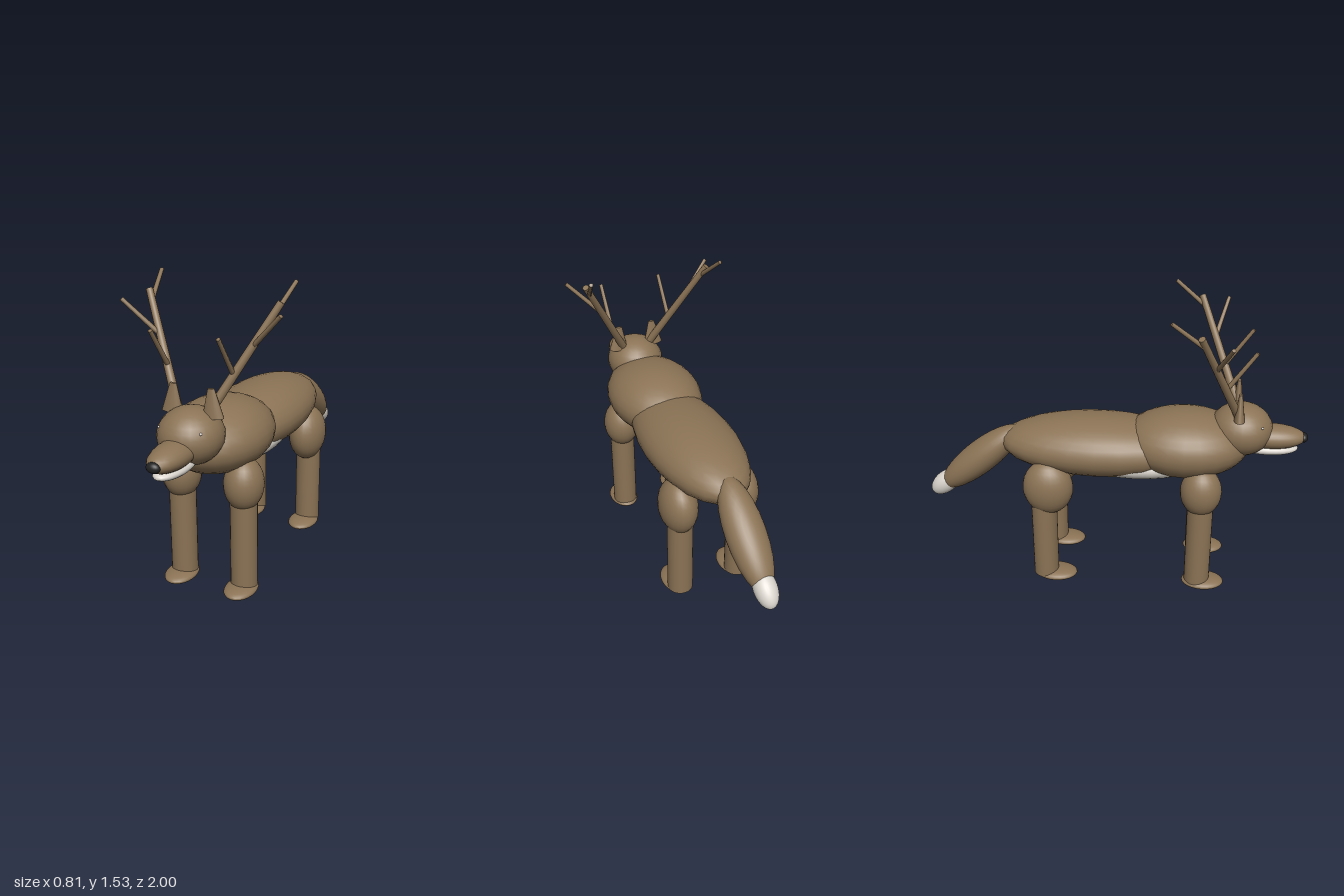
import * as THREE from 'three';

const fur = new THREE.MeshStandardMaterial({ name: 'brown fur', color: 0x8b7355 });
const pale = new THREE.MeshStandardMaterial({ name: 'pale fur', color: 0xd9d4cc });
const dark = new THREE.MeshStandardMaterial({ name: 'dark nose', color: 0x222222 });

export function createModel() {
  const model = new THREE.Group();
  model.name = 'antleredFox';

  function add(name, geometry, material, position) {
    const mesh = new THREE.Mesh(geometry, material);
    mesh.name = name;
    mesh.position.set(...position);
    model.add(mesh);
    return mesh;
  }

  // Ellipsoid from centre and three radii, tilted about x
  function ellipsoid(name, material, centre, radii, tilt = 0) {
    const mesh = add(name, new THREE.SphereGeometry(1, 24, 16), material, centre);
    mesh.scale.set(...radii);
    mesh.rotation.x = tilt;
    return mesh;
  }

  // Tapered rod between two points
  function rod(name, from, to, r0, r1, sides = 10) {
    const a = new THREE.Vector3(...from), b = new THREE.Vector3(...to);
    const dir = b.clone().sub(a);
    const mesh = add(name, new THREE.CylinderGeometry(r1, r0, dir.length(), sides), fur,
      a.clone().add(b).multiplyScalar(0.5).toArray());
    mesh.quaternion.setFromUnitVectors(new THREE.Vector3(0, 1, 0), dir.normalize());
    return mesh;
  }

  // Torso
  ellipsoid('body', fur, [0, 0.745, -0.07], [0.24, 0.155, 0.52]);
  ellipsoid('chest', fur, [0, 0.78, 0.38], [0.25, 0.173, 0.33]);
  ellipsoid('belly', pale, [0, 0.68, 0.13], [0.196, 0.092, 0.36]);

  // Head
  ellipsoid('head', fur, [0, 0.866, 0.66], [0.155, 0.135, 0.16]);
  ellipsoid('snout', fur, [0, 0.83, 0.81], [0.085, 0.062, 0.18]);
  ellipsoid('jaw', pale, [0, 0.768, 0.80], [0.07, 0.034, 0.155]);
  ellipsoid('nose', dark, [0, 0.83, 0.976], [0.034, 0.025, 0.024]);

  // Tail, sloping down and back
  const slope = -0.70;
  ellipsoid('tail', fur, [0, 0.625, -0.71], [0.1, 0.088, 0.29], slope);
  ellipsoid('tailTip', pale, [0, 0.46, -0.915], [0.058, 0.058, 0.1], slope);

  for (const [side, s] of [['left', 1], ['right', -1]]) {
    // Eyes and ears
    ellipsoid(side + 'Eye', pale, [s * 0.106, 0.92, 0.758], [0.006, 0.006, 0.006]);
    const ear = add(side + 'Ear', new THREE.CylinderGeometry(0.017, 0.054, 0.135, 16), fur,
      [s * 0.1, 1.024, 0.641]);
    ear.scale.z = 0.5;
    ear.rotation.z = s * 0.06;

    // Antler beam with three tines
    rod(side + 'AntlerBeam', [s * 0.07, 0.955, 0.642], [s * 0.335, 1.455, 0.435], 0.022, 0.017);
    rod(side + 'LowerTine', [s * 0.167, 1.15, 0.57], [s * 0.167, 1.335, 0.70], 0.012, 0.01, 8);
    rod(side + 'MiddleTine', [s * 0.245, 1.275, 0.515], [s * 0.396, 1.43, 0.575], 0.012, 0.01, 8);
    rod(side + 'UpperTine', [s * 0.315, 1.41, 0.445], [s * 0.348, 1.525, 0.3], 0.012, 0.01, 8);

    // Legs
    const legs = [
      { name: 'Front', z: 0.473, jointY: 0.58, jointZ: 0.472, joint: [0.097, 0.133, 0.106], footZ: 0.505 },
      { name: 'Back', z: -0.34, jointY: 0.56, jointZ: -0.316, joint: [0.097, 0.15, 0.132], footZ: -0.285 },
    ];
    for (const leg of legs) {
      ellipsoid(side + leg.name + 'UpperLeg', fur, [s * 0.169, leg.jointY, leg.jointZ], leg.joint);
      add(side + leg.name + 'Leg', new THREE.CylinderGeometry(0.067, 0.067, 0.5, 24), fur,
        [s * 0.168, 0.28, leg.z]);
      ellipsoid(side + leg.name + 'Foot', fur, [s * 0.168, 0.029, leg.footZ], [0.079, 0.028, 0.112]);
    }
  }
  return model;
}
